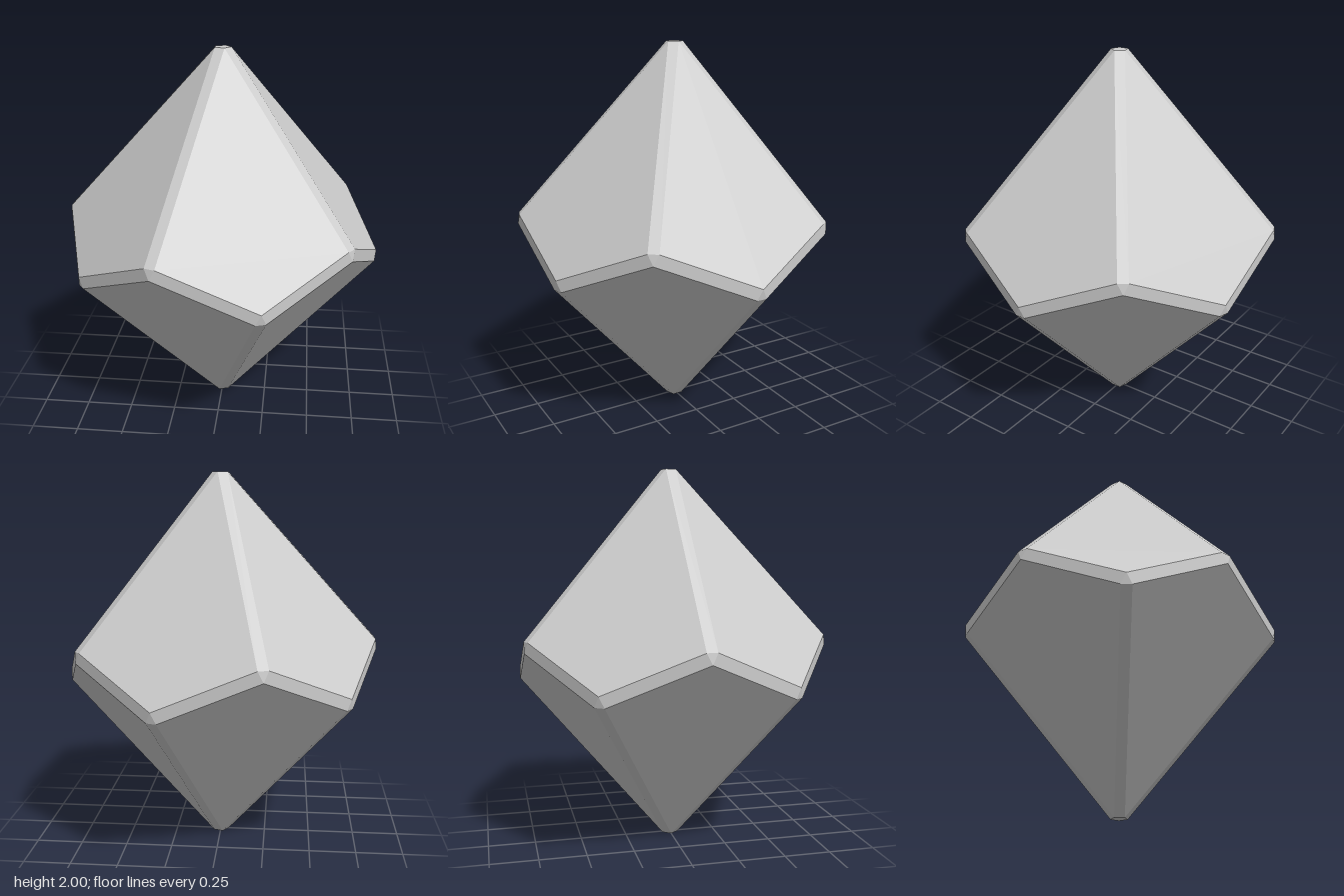
import * as THREE from 'three';
import { ConvexGeometry } from 'three/addons/geometries/ConvexGeometry.js';

const RADIUS = 0.838;  // girdle radius
const TIP = 0.045;     // radius of the small flat tips
const LOW = 0.925;     // height of the lowest corner of an upper kite
const BEVEL = 0.027;   // half width of the bevel along each ridge

// Four corners of one kite facet; dir is 1 for the upper half, -1 for the lower.
function kite(angle, dir) {
  const step = Math.PI / 5;
  // side corner lies on the girdle outline, BEVEL away from the ridge
  const ridge = RADIUS - BEVEL * Math.tan(step / 2);
  const along = ridge * Math.cos(step) + BEVEL * Math.sin(step);
  const across = ridge * Math.sin(step) - BEVEL * Math.cos(step);
  const slope = (2 - LOW) / (RADIUS - TIP);
  const sideY = 2 - (along - TIP) * slope;
  return [[TIP, 2, 0], [RADIUS, LOW, 0], [along, sideY, across], [along, sideY, -across]]
    .map(([r, y, w]) => new THREE.Vector3(r, dir > 0 ? y : 2 - y, w)
      .applyAxisAngle(new THREE.Vector3(0, 1, 0), angle));
}

export function createModel() {
  const grey = new THREE.MeshStandardMaterial({ color: 0xcccccc });
  grey.name = 'lightGrey';

  // Five upper kites and five lower kites turned by half a step;
  // the hull between them forms the bevels, corners and flat tips.
  const points = [];
  for (let i = 0; i < 5; i++) {
    const a = (i * Math.PI * 2) / 5;
    points.push(...kite(a, 1), ...kite(a + Math.PI / 5, -1));
  }

  const body = new THREE.Mesh(new ConvexGeometry(points), grey);
  body.name = 'bevelledTenSidedBody';

  const group = new THREE.Group();
  group.name = 'tenSidedDie';
  group.add(body);
  return group;
}
